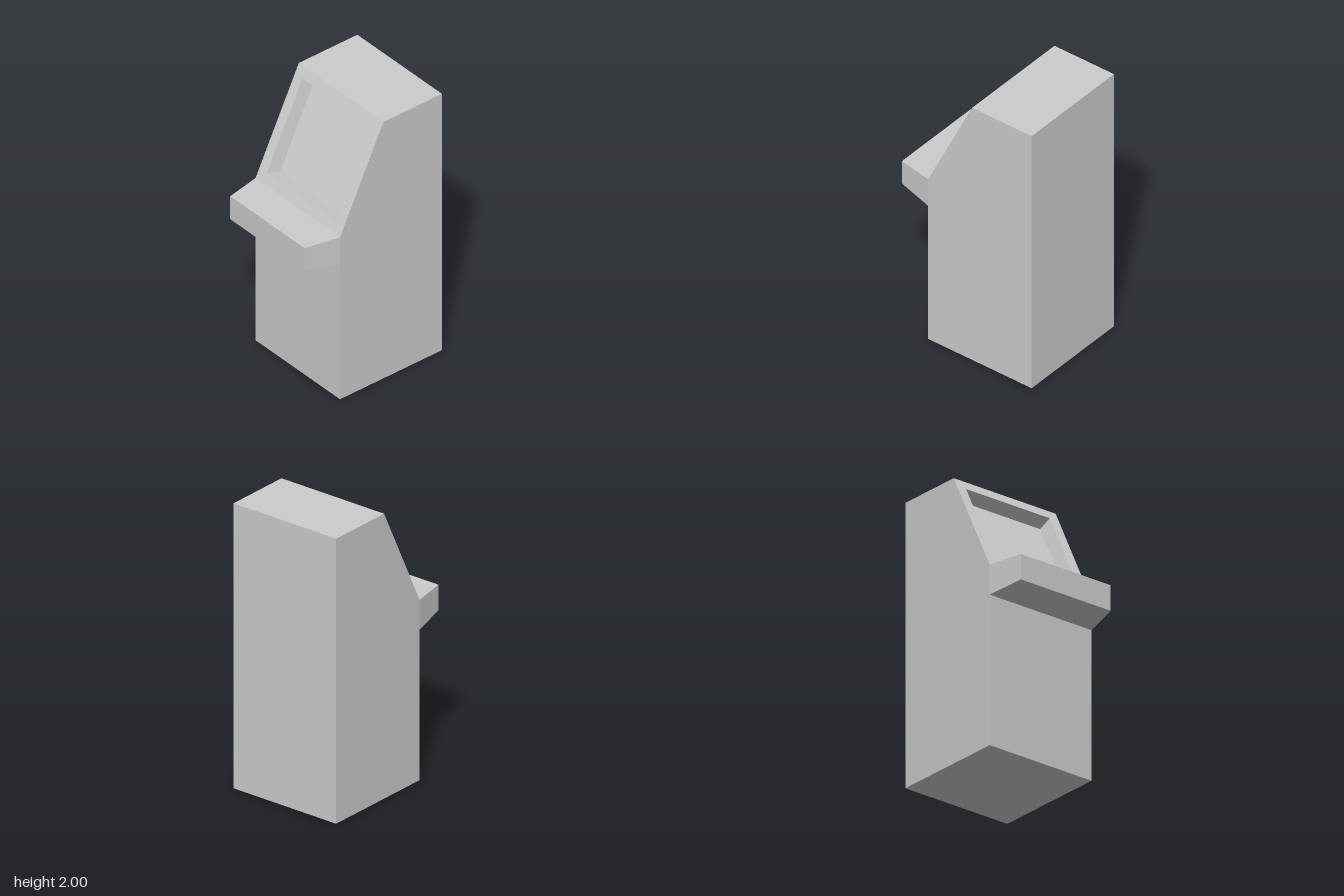
import * as THREE from 'three';

const W = 0.42, BACK = -0.546, FRONT = 0.295;
const SHELF_TOP = 1.265, SHELF_BOTTOM = 1.055;
const SLANT_TOP = new THREE.Vector3(0, 2, -0.063);
const SLANT_BOTTOM = new THREE.Vector3(0, SHELF_TOP, FRONT);

// Skins a series of closed loops, leaving out the edges in skip; caps are convex.
function loftMesh(name, loops, { skip = [], capStart = false, capEnd = false } = {}) {
  const pos = [];
  const face = (pts) => {
    for (let i = 1; i < pts.length - 1; i++) {
      for (const p of [pts[0], pts[i], pts[i + 1]]) pos.push(p.x, p.y, p.z);
    }
  };
  for (let k = 0; k < loops.length - 1; k++) {
    const a = loops[k], b = loops[k + 1];
    a.forEach((p, i) => {
      const j = (i + 1) % a.length;
      if (!skip.includes(i)) face([p, a[j], b[j], b[i]]);
    });
  }
  if (capStart) face([...loops[0]].reverse());
  if (capEnd) face(loops[loops.length - 1]);
  const geo = new THREE.BufferGeometry();
  geo.setAttribute('position', new THREE.Float32BufferAttribute(pos, 3));
  geo.computeVertexNormals();
  const mesh = new THREE.Mesh(geo, new THREE.MeshStandardMaterial({ color: 0xcccccc, flatShading: true }));
  mesh.name = name;
  return mesh;
}

// Rectangle from a bottom and a top point, counter-clockwise from the front
function rect(halfWidth, bottom, top) {
  const at = (x, p) => new THREE.Vector3(x, p.y, p.z);
  return [at(-halfWidth, bottom), at(halfWidth, bottom), at(halfWidth, top), at(-halfWidth, top)];
}

export function createModel() {
  const group = new THREE.Group();

  // Cabinet: side profile (z, y), open where the screen panel and shelf join it
  const profile = [
    [BACK, 0], [BACK, 2], [SLANT_TOP.z, 2],
    [FRONT, SHELF_TOP], [FRONT, SHELF_BOTTOM], [FRONT, 0],
  ];
  const side = (x) => profile.map(([z, y]) => new THREE.Vector3(x, y, z));
  group.add(loftMesh('cabinet', [side(-W), side(W)], { skip: [2, 3], capStart: true, capEnd: true }));

  // Slanted screen panel: border, tapered recess and sunken screen
  const up = SLANT_TOP.clone().sub(SLANT_BOTTOM);
  const length = up.length();
  up.normalize();
  const inward = new THREE.Vector3(0, -up.z, up.y).cross(new THREE.Vector3(1, 0, 0)).cross(new THREE.Vector3(1, 0, 0));
  inward.set(0, up.z, -up.y);
  const onPanel = (s, depth) => SLANT_BOTTOM.clone().addScaledVector(up, s).addScaledVector(inward, depth);
  const inset = 0.025, depth = 0.086, low = 0.073, high = length - 0.073;
  const edge = rect(W, SLANT_BOTTOM, SLANT_TOP);
  const opening = rect(0.345, onPanel(low, 0), onPanel(high, 0));
  const screen = rect(0.345 - inset, onPanel(low + inset, depth), onPanel(high - inset, depth));
  group.add(loftMesh('screenBorder', [edge, opening]));
  group.add(loftMesh('screenRecess', [opening, screen], { capEnd: true }));

  // Control shelf, narrowing towards the front
  const rear = rect(W, new THREE.Vector3(0, SHELF_BOTTOM, FRONT), SLANT_BOTTOM);
  const nose = rect(0.37, new THREE.Vector3(0, 1.086, 0.546), new THREE.Vector3(0, SHELF_TOP, 0.546));
  group.add(loftMesh('controlShelf', [rear, nose], { capEnd: true }));

  return group;
}
